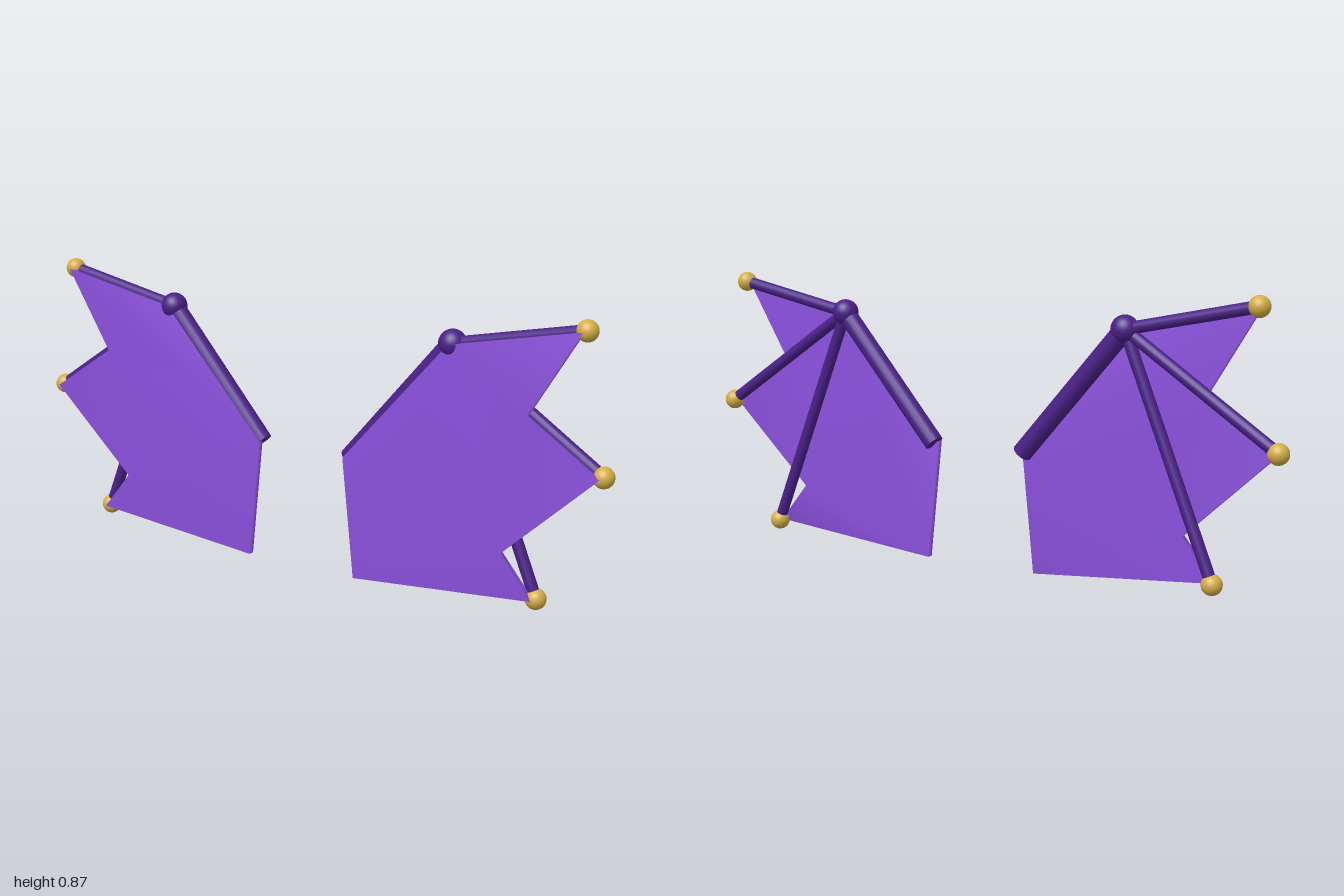
import * as THREE from 'three';
import { mergeVertices } from 'three/addons/utils/BufferGeometryUtils.js';

const membraneMat = new THREE.MeshStandardMaterial({ color: 0x8a50dc });
membraneMat.name = 'violet membrane';
const boneMat = new THREE.MeshStandardMaterial({ color: 0x4a2088 });
boneMat.name = 'dark purple bone';
const clawMat = new THREE.MeshStandardMaterial({ color: 0xd4af47 });
clawMat.name = 'gold';

const ELBOW = [0.497, 0.753];
const SHOULDER = [0.159, 0.366];
const TIPS = [[0.903, 0.835], [0.969, 0.44], [0.782, 0.052]];
// Membrane outline, running from the shoulder over the elbow and around the scallops
const OUTLINE = [[0.152, 0.37], ELBOW, TIPS[0], [0.748, 0.585], TIPS[1], [0.68, 0.175], TIPS[2], [0.192, 0]];

function add(group, name, geometry, material) {
  const mesh = new THREE.Mesh(geometry, material);
  mesh.name = name;
  group.add(mesh);
  return mesh;
}

// Straight round bone between two points in the z = 0 plane
function bone(group, name, from, to, radius) {
  const a = new THREE.Vector3(...from, 0);
  const d = new THREE.Vector3(...to, 0).sub(a);
  const mesh = add(group, name, new THREE.CylinderGeometry(radius, radius, d.length(), 16), boneMat);
  mesh.position.copy(a).addScaledVector(d, 0.5);
  mesh.quaternion.setFromUnitVectors(new THREE.Vector3(0, 1, 0), d.normalize());
}

function ball(group, name, at, radius, material) {
  add(group, name, new THREE.SphereGeometry(radius, 24, 16), material).position.set(...at, 0);
}

function createWing(side, name) {
  const wing = new THREE.Group();
  wing.name = name;
  const flip = ([x, y]) => [side * x, y];

  // Thin membrane in front of the bones, with normals shared around its rim
  const shape = new THREE.Shape(OUTLINE.map((p) => new THREE.Vector2(...flip(p))));
  let skin = new THREE.ExtrudeGeometry(shape, { depth: 0.019, bevelEnabled: false });
  skin.translate(0, 0, 0.012);
  skin.deleteAttribute('normal');
  skin.deleteAttribute('uv');
  skin = mergeVertices(skin);
  skin.computeVertexNormals();
  add(wing, 'membrane', skin, membraneMat);

  // Arm, elbow, and fingers with round gold tips
  bone(wing, 'armBone', flip(SHOULDER), flip(ELBOW), 0.03);
  ball(wing, 'elbow', flip(ELBOW), 0.041, boneMat);
  TIPS.forEach((tip, i) => {
    bone(wing, `fingerBone${i + 1}`, flip(ELBOW), flip(tip), 0.018);
    ball(wing, `fingerTip${i + 1}`, flip(tip), 0.031, clawMat);
  });
  return wing;
}

export function createModel() {
  const model = new THREE.Group();
  model.name = 'wings';
  model.add(createWing(1, 'leftWing'), createWing(-1, 'rightWing'));
  return model;
}
